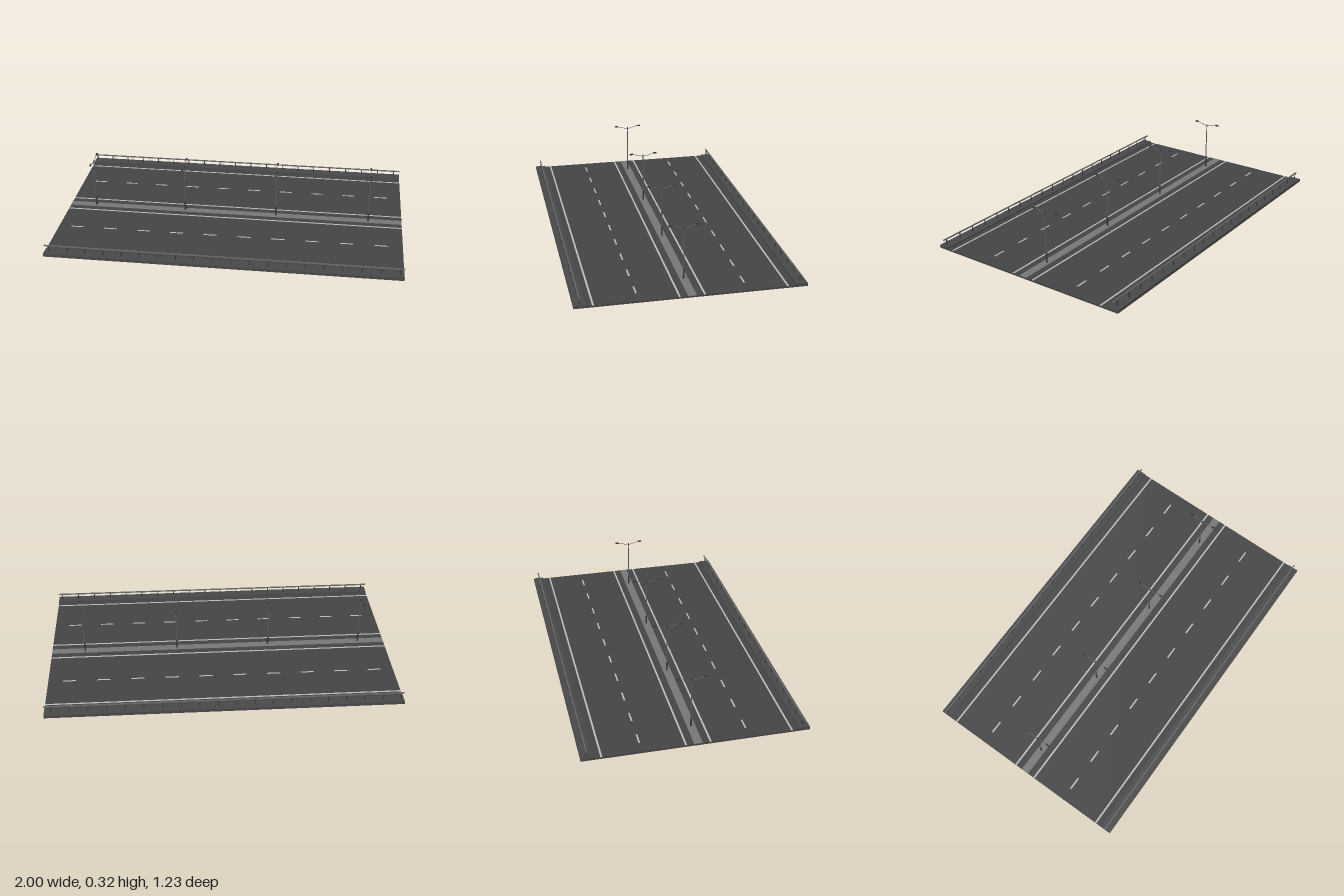
import * as THREE from 'three';

const mat = (color) => new THREE.MeshStandardMaterial({ color });

export function createModel() {
  const road = new THREE.Group();
  road.name = 'dualCarriageway';
  const asphalt = mat(0x444444), concrete = mat(0x484848), paint = mat(0xbbbbbb);
  const medianGrey = mat(0x777777), metal = mat(0x666666), dark = mat(0x3a3a3a), steel = mat(0x5a6068);

  // Box given by its extents, with its base at y0
  function box(parent, name, material, x, z, y0, w, h, d) {
    const mesh = new THREE.Mesh(new THREE.BoxGeometry(w, h, d), material);
    mesh.position.set(x, y0 + h / 2, z);
    mesh.name = name;
    parent.add(mesh);
    return mesh;
  }
  // Thin round bar between two points
  function bar(parent, name, material, a, b, r0, r1 = r0) {
    const dir = b.clone().sub(a);
    const mesh = new THREE.Mesh(new THREE.CylinderGeometry(r1, r0, dir.length(), 10), material);
    mesh.position.copy(a).addScaledVector(dir, 0.5);
    mesh.quaternion.setFromUnitVectors(new THREE.Vector3(0, 1, 0), dir.normalize());
    mesh.name = name;
    parent.add(mesh);
  }

  // Road deck and central strip
  const top = 0.01, midZ = 0.004;
  box(road, 'roadDeck', asphalt, 0, 0.002, 0, 2, top, 1.11);
  box(road, 'medianStrip', medianGrey, 0, midZ, top - 0.001, 2, 0.002, 0.046);

  // Continuous lines
  for (const z of [-0.506, -0.062, 0.07, 0.514])
    box(road, 'solidLine', paint, 0, z, top - 0.001, 2, 0.0018, 0.01);

  // Dashed lane dividers
  for (const z of [-0.294, 0.281])
    for (let i = 0; i < 10; i++)
      box(road, 'laneDash', paint, -0.89 + i * 0.1965, z, top - 0.001, 0.076, 0.0018, 0.009);

  // Raised verges with guard rails
  for (const side of [1, -1]) {
    const verge = new THREE.Group();
    verge.name = side > 0 ? 'frontVerge' : 'backVerge';
    box(verge, 'kerb', concrete, 0, side * 0.582, 0, 2, 0.017, 0.062);
    const z = side * 0.582;
    box(verge, 'guardRail', metal, 0, z, 0.051, 2, 0.006, 0.007);
    for (let i = 0; i < 20; i++)
      box(verge, 'railPost', dark, -0.978 + i * 0.1025 + side * 0.007, z, 0.016, 0.005, 0.036, 0.004);
    road.add(verge);
  }

  // Twin-arm street lamps along the median
  for (let i = 0; i < 4; i++) {
    const lamp = new THREE.Group();
    lamp.name = 'streetLamp';
    lamp.position.set(-0.844 + i * 0.549, 0, midZ);
    const p = (y, z) => new THREE.Vector3(0, y, z);
    bar(lamp, 'lampBase', dark, p(top, 0), p(0.067, 0), 0.005);
    bar(lamp, 'lampPole', steel, p(0.06, 0), p(0.3, 0), 0.0036, 0.0026);
    bar(lamp, 'poleCap', dark, p(0.293, 0), p(0.308, 0), 0.0035);
    for (const s of [1, -1]) {
      bar(lamp, 'lampArm', steel, p(0.298, 0), p(0.315, s * 0.066), 0.0016);
      box(lamp, 'lampHead', dark, 0, s * 0.074, 0.312, 0.009, 0.007, 0.02);
    }
    road.add(lamp);
  }
  return road;
}
